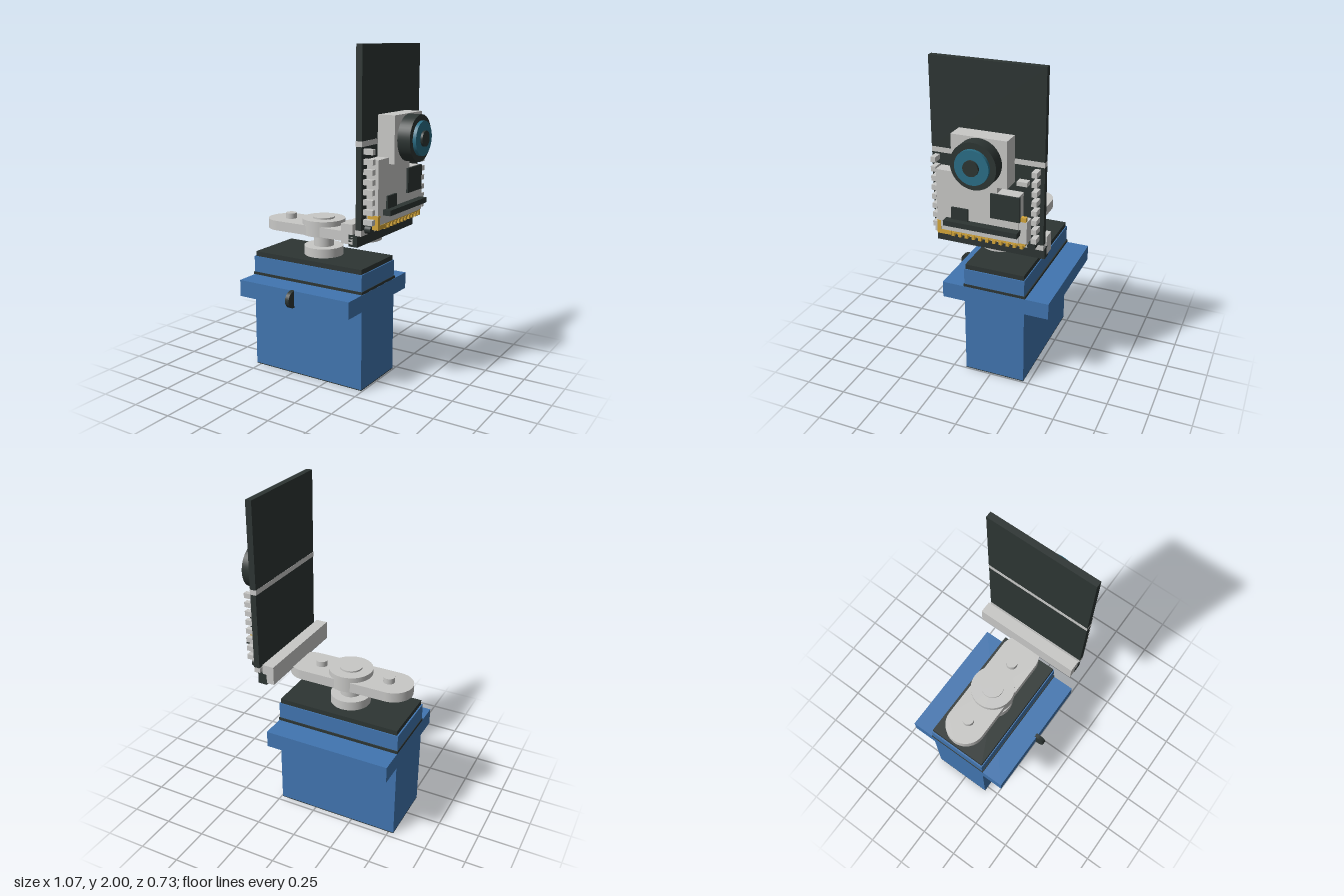
import * as THREE from 'three';

const mat = (name, color) => {
  const m = new THREE.MeshStandardMaterial({ color });
  m.name = name;
  return m;
};

export function createModel() {
  const blue = mat('servo blue', 0x4175b0);
  const dark = mat('charcoal', 0x2d3533);
  const light = mat('light grey', 0xc8c8c6);
  const teal = mat('lens teal', 0x2a6e86);
  const gold = mat('gold', 0xd4a63a);

  const model = new THREE.Group();
  model.name = 'servoCamera';
  const group = (name) => {
    const g = new THREE.Group();
    g.name = name;
    model.add(g);
    return g;
  };
  const add = (parent, name, geometry, material) => {
    const mesh = new THREE.Mesh(geometry, material);
    mesh.name = name;
    parent.add(mesh);
    return mesh;
  };
  // Box given by its extents on each axis
  const box = (parent, name, material, x0, x1, y0, y1, z0, z1) => {
    const m = add(parent, name, new THREE.BoxGeometry(x1 - x0, y1 - y0, z1 - z0), material);
    m.position.set((x0 + x1) / 2, (y0 + y1) / 2, (z0 + z1) / 2);
    return m;
  };
  // Upright disc between two heights
  const disc = (parent, name, material, x, z, r, y0, y1) => {
    const m = add(parent, name, new THREE.CylinderGeometry(r, r, y1 - y0, 48), material);
    m.position.set(x, (y0 + y1) / 2, z);
    return m;
  };
  // Cylinder lying along x
  const barrel = (parent, name, material, x0, x1, y, z, r) => {
    const m = add(parent, name, new THREE.CylinderGeometry(r, r, x1 - x0, 48), material);
    m.rotation.z = -Math.PI / 2;
    m.position.set((x0 + x1) / 2, y, z);
    return m;
  };

  // Servo case with mounting flange
  const servo = group('servo');
  box(servo, 'bottomCover', dark, -0.532, 0.242, 0, 0.005, -0.215, 0.168);
  box(servo, 'case', blue, -0.532, 0.242, 0.005, 0.71, -0.215, 0.168);
  box(servo, 'flange', blue, -0.533, 0.244, 0.49, 0.592, -0.366, 0.312);
  box(servo, 'seam', dark, -0.535, 0.246, 0.594, 0.61, -0.222, 0.173);
  box(servo, 'topCover', dark, -0.523, 0.235, 0.71, 0.74, -0.209, 0.162);

  // Cable stub with a rounded end
  const cableShape = new THREE.Shape();
  cableShape.moveTo(-0.3, 0.49);
  cableShape.lineTo(-0.316, 0.49);
  cableShape.absarc(-0.316, 0.541, 0.051, -Math.PI / 2, Math.PI / 2, true);
  cableShape.lineTo(-0.3, 0.592);
  const cable = add(servo, 'cable', new THREE.ExtrudeGeometry(cableShape,
    { depth: 0.026, bevelEnabled: false, curveSegments: 20 }), dark);
  cable.rotation.y = Math.PI / 2;
  cable.position.x = -0.156;

  // Horn: hub, neck, rounded arm and screw bosses
  const horn = group('horn');
  const hx = -0.144, hz = -0.026, r = 0.121;
  disc(horn, 'hubBase', light, hx, hz, 0.12, 0.74, 0.795);
  disc(horn, 'neck', light, hx, hz, 0.062, 0.79, 0.875);
  const armShape = new THREE.Shape();
  armShape.absarc(0.125, 0, r, -Math.PI / 2, Math.PI / 2, false);
  armShape.absarc(-0.412, 0, r, Math.PI / 2, Math.PI * 1.5, false);
  const arm = add(horn, 'arm', new THREE.ExtrudeGeometry(armShape,
    { depth: 0.06, bevelEnabled: false, curveSegments: 32 }), light);
  arm.rotation.x = -Math.PI / 2;
  arm.position.set(0, 0.873, hz);
  disc(horn, 'hubTop', light, hx, hz, 0.131, 0.87, 0.965);
  disc(horn, 'screwCap', light, hx, hz, 0.067, 0.96, 0.975);
  for (const x of [-0.387, 0.05]) disc(horn, 'peg', light, x, hz, 0.034, 0.93, 0.967);

  // Bracket and upright board panels
  const panel = group('panel');
  const z0 = -0.352, z1 = 0.305;
  box(panel, 'bracket', light, 0.19, 0.262, 0.925, 1.038, z0, z1);
  box(panel, 'lowerLip', dark, 0.237, 0.293, 0.913, 0.98, z0, z1);
  box(panel, 'lowerStrip', light, 0.28, 0.318, 0.978, 1.01, z0, z1);
  box(panel, 'lowerPanel', dark, 0.283, 0.318, 1.01, 1.466, z0, z1);
  box(panel, 'upperStrip', light, 0.281, 0.32, 1.466, 1.496, z0, z1);
  box(panel, 'upperPanel', dark, 0.282, 0.319, 1.496, 2, z0, z1);

  // Circuit board with side pins and chips
  const board = group('circuitBoard');
  box(board, 'plate', light, 0.318, 0.39, 1.035, 1.31, -0.235, 0.25);
  box(board, 'plateTop', light, 0.318, 0.39, 1.31, 1.395, -0.11, 0.25);
  box(board, 'plateCorner', light, 0.318, 0.385, 1.035, 1.165, -0.28, -0.235);
  for (const [a, b] of [[-0.33, -0.3], [0.258, 0.287]])
    for (let i = 0; i < 8; i++) {
      const y = 1.44 - i * 0.055;
      box(board, 'sidePin', light, 0.318, 0.376, y - 0.015, y + 0.015, a, b);
    }
  box(board, 'mainChip', dark, 0.385, 0.402, 1.165, 1.308, -0.244, -0.074);
  box(board, 'smallChip', dark, 0.385, 0.402, 1.115, 1.187, 0.06, 0.16);
  box(board, 'connector', dark, 0.385, 0.436, 1.085, 1.116, -0.243, 0.195);
  box(board, 'goldPad', gold, 0.36, 0.385, 1.165, 1.19, -0.275, -0.245);
  box(board, 'component', light, 0.318, 0.36, 1.36, 1.385, -0.27, -0.21);

  // Gold contact row and round feet
  box(board, 'contactStrip', gold, 0.325, 0.382, 1.018, 1.034, -0.27, 0.25);
  for (let i = 0; i < 11; i++) {
    const z = 0.16 - i * 0.041;
    box(board, 'contact', gold, 0.33, 0.388, 1.002, 1.026, z - 0.009, z + 0.009);
  }
  box(board, 'goldCorner', gold, 0.325, 0.393, 1.01, 1.035, 0.17, 0.252);
  box(board, 'goldCornerUpright', gold, 0.325, 0.393, 1.035, 1.09, 0.23, 0.252);
  for (const z of [-0.295, 0.25]) barrel(board, 'foot', dark, 0.315, 0.355, 1.01, z, 0.024);

  // Camera
  const camera = group('camera');
  const cy = 1.491, cz = -0.023;
  box(camera, 'housing', light, 0.318, 0.424, 1.36, 1.625, -0.183, 0.137);
  barrel(camera, 'lensBarrel', dark, 0.42, 0.5, cy, cz, 0.131);
  barrel(camera, 'lensRing', teal, 0.49, 0.52, cy, cz, 0.097);
  barrel(camera, 'lensCentre', dark, 0.51, 0.533, cy, cz, 0.044);

  return model;
}
